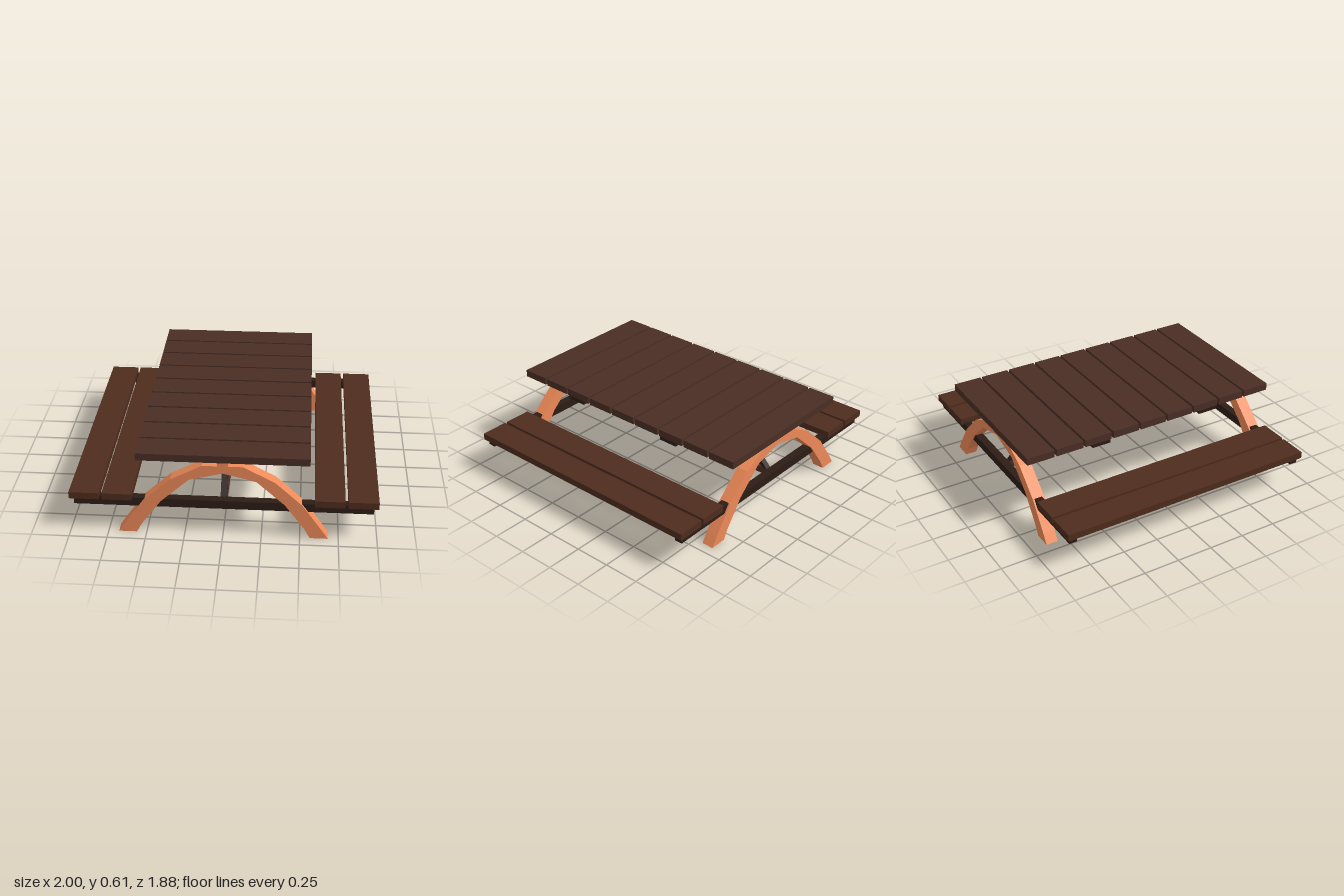
import * as THREE from 'three';

const mat = (color) => new THREE.MeshStandardMaterial({ color, flatShading: true });

export function createModel() {
  const group = new THREE.Group();
  const topWood = mat(0x4a2e25);
  const benchWood = mat(0x4e2c1d);
  const darkWood = mat(0x2c1c16);
  const orangeWood = mat(0xee8a58);

  // Box given by its limits on each axis
  function box(name, material, [x0, x1], [y0, y1], [z0, z1]) {
    const mesh = new THREE.Mesh(new THREE.BoxGeometry(x1 - x0, y1 - y0, z1 - z0), material);
    mesh.position.set((x0 + x1) / 2, (y0 + y1) / 2, (z0 + z1) / 2);
    mesh.name = name;
    group.add(mesh);
    return mesh;
  }

  // Table top: nine crosswise boards
  const boards = 9, boardWidth = 0.194, pitch = (1.876 - boardWidth) / (boards - 1);
  for (let i = 0; i < boards; i++) {
    const z = -0.94 + i * pitch;
    box('tableBoard', topWood, [-0.552, 0.552], [0.555, 0.605], [z, z + boardWidth]);
  }

  // Central beam and crosswise battens under the top
  box('topBeam', orangeWood, [-0.035, 0.035], [0.52, 0.555], [-0.905, 0.935]);
  for (const z of [-0.465, 0.37]) {
    box('topBatten', darkWood, [-0.547, 0.547], [0.527, 0.552], [z, z + 0.135]);
  }

  // Benches: two long planks on each side
  for (const s of [-1, 1]) {
    for (const x of [0.59, 0.805]) {
      const limits = [s * x, s * (x + 0.195)].sort((a, b) => a - b);
      box('benchPlank', benchWood, limits, [0.24, 0.286], [-0.9, 0.92]);
    }
  }

  // Faceted arch legs, mirrored about x = 0
  const outer = [[0.682, 0], [0.64, 0.065], [0.51, 0.25], [0.335, 0.413], [0.13, 0.522]];
  const inner = [[0, 0.47], [0.215, 0.415], [0.4, 0.245], [0.53, 0.065], [0.565, 0]];
  const flip = (points) => points.map(([x, y]) => [-x, y]).reverse();
  const outline = [...outer, ...flip(outer), ...flip(inner), ...inner.slice(1)];
  const archShape = new THREE.Shape(outline.map(([x, y]) => new THREE.Vector2(x, y)));
  const archGeometry = new THREE.ExtrudeGeometry(archShape, { depth: 0.082, bevelEnabled: false });
  for (const z of [-0.892, 0.838]) {
    const arch = new THREE.Mesh(archGeometry, orangeWood);
    arch.position.z = z;
    arch.name = 'archLegs';
    group.add(arch);
  }

  // Bench supports through the arches, and the stretcher joining them
  for (const z of [-0.88, 0.85]) {
    box('benchSupport', darkWood, [-0.97, 0.97], [0.193, 0.252], [z, z + 0.055]);
  }
  box('stretcher', topWood, [-0.022, 0.022], [0.2, 0.245], [-0.83, 0.86]);

  // Diagonal braces from the stretcher up to the central beam
  for (const s of [-1, 1]) {
    const low = new THREE.Vector3(0, 0.23, s * 0.827 + 0.015);
    const high = new THREE.Vector3(0, 0.535, s * 0.53 + 0.015);
    const brace = new THREE.Mesh(new THREE.BoxGeometry(0.04, 0.027, low.distanceTo(high)), darkWood);
    brace.position.copy(low).add(high).multiplyScalar(0.5);
    brace.lookAt(high);
    brace.name = 'diagonalBrace';
    group.add(brace);
  }

  return group;
}
